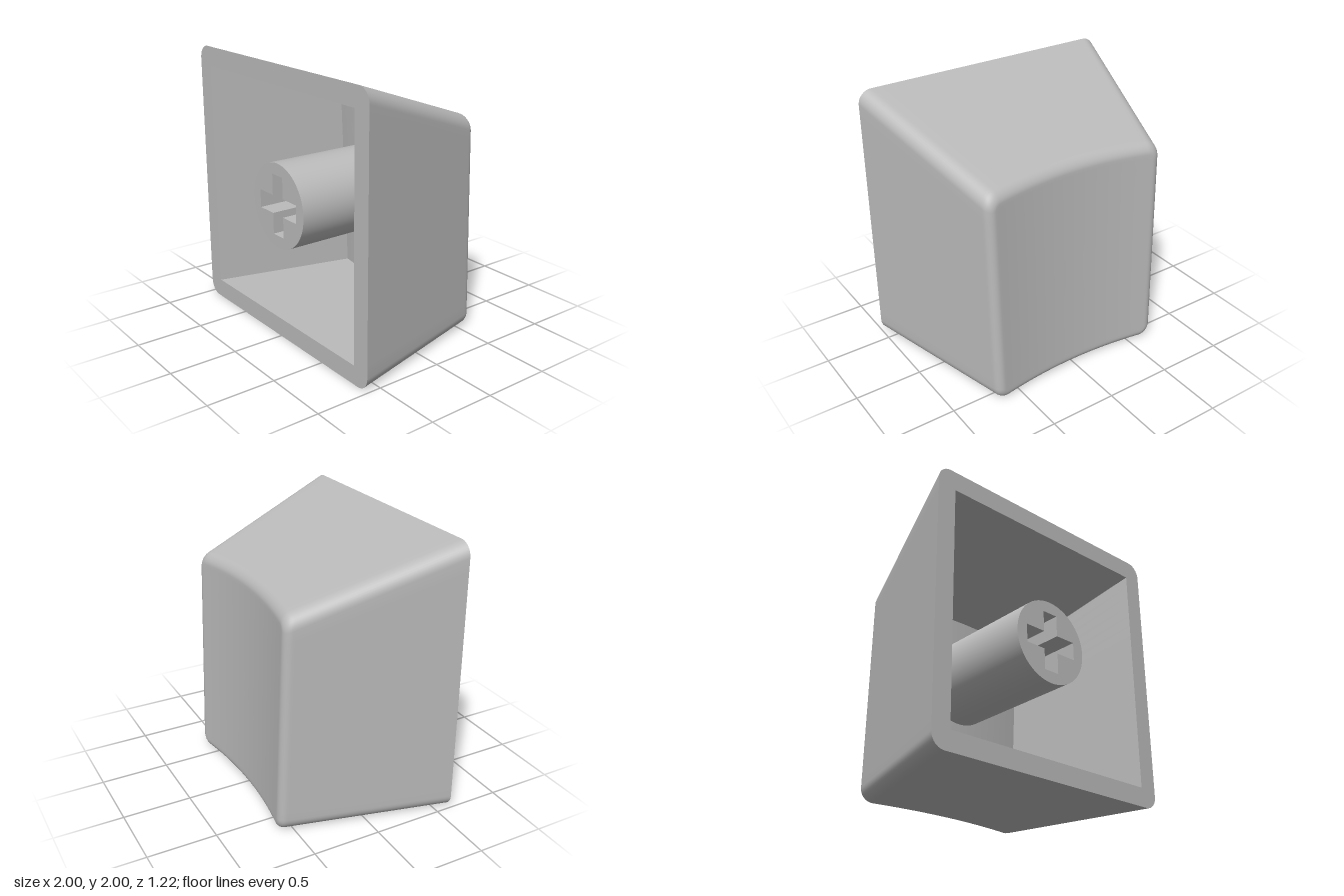
import * as THREE from 'three';
import { toCreasedNormals } from 'three/addons/utils/BufferGeometryUtils.js';

const FRONT = 0.61;       // plane of the open rim
const TAPER_X = 0.252;    // side wall slope
const TAPER_Y = 0.345;    // top wall slope
const CORNER = 0.1;
const FILLET = 0.06;

// Dished back surface, slightly tilted
const dish = (x, y) => -0.55 + 0.041 * y - 0.065 * (x / 0.66) ** 2;

// Counter-clockwise rounded rectangle with subdivided edges
function outline(hw, y0, y1, r, arcSteps, edgeSteps) {
  const pts = [];
  const corners = [[hw - r, y0 + r, -90], [hw - r, y1 - r, 0], [-hw + r, y1 - r, 90], [-hw + r, y0 + r, 180]];
  const at = ([x, y, deg], f) => {
    const a = THREE.MathUtils.degToRad(deg + 90 * f);
    return new THREE.Vector2(x + r * Math.cos(a), y + r * Math.sin(a));
  };
  corners.forEach((c, k) => {
    for (let i = 0; i < arcSteps; i++) pts.push(at(c, i / arcSteps));
    const end = at(c, 1), next = at(corners[(k + 1) % 4], 0);
    for (let i = 0; i < edgeSteps; i++) pts.push(end.clone().lerp(next, i / edgeSteps));
  });
  return pts;
}

// Wall from the rim to the dished back, then the back itself in shrinking rings
function shell({ hw, y0, y1, r, arcSteps, fillet, offset, inward }) {
  const section = (z, inset) => {
    const d = FRONT - z;
    return outline(hw - TAPER_X * d - inset, y0 + inset, y1 - TAPER_Y * d - inset,
      Math.max(r - inset, 0), arcSteps, 20);
  };
  const back = (p) => dish(p.x, p.y) + offset;
  const rings = [section(FRONT, 0).map((p) => [p.x, p.y, FRONT])];
  const count = rings[0].length;

  // rings that follow the back surface at a given distance and inset
  const addRing = (rise, inset) => {
    const ring = [];
    for (let i = 0; i < count; i++) {
      let z = -0.5, p;
      for (let k = 0; k < 6; k++) {
        p = section(z, inset)[i];
        z = back(p) + rise;
      }
      ring.push([p.x, p.y, z]);
    }
    rings.push(ring);
  };
  if (fillet) {
    addRing(fillet + 0.015, 0);
    for (let k = 0; k <= 8; k++) {
      const a = (k / 8) * Math.PI / 2;
      addRing(fillet * (1 - Math.sin(a)), fillet * (1 - Math.cos(a)));
    }
  } else addRing(0, 0);

  const edge = rings[rings.length - 1];
  const midY = (edge[0][1] + edge[Math.floor(count / 2)][1]) / 2;
  for (const s of [0.97, 0.85, 0.7, 0.55, 0.4, 0.25, 0.1, 0]) {
    rings.push(edge.map(([x, y]) => {
      const p = { x: x * s, y: midY + (y - midY) * s };
      return [p.x, p.y, back(p)];
    }));
  }

  const index = [];
  for (let j = 0; j < rings.length - 1; j++) {
    for (let i = 0; i < count; i++) {
      const n = (i + 1) % count;
      const a = j * count + i, b = j * count + n, c = a + count, d = b + count;
      if (inward) index.push(a, b, c, b, d, c);
      else index.push(a, c, b, b, c, d);
    }
  }
  const g = new THREE.BufferGeometry();
  g.setAttribute('position', new THREE.Float32BufferAttribute(rings.flat(2), 3));
  g.setIndex(index);
  return toCreasedNormals(g, 0.5);
}

// Plus-shaped outline of the socket
function crossPoints() {
  const L = 0.222, w = 0.062, h = 0.067;
  return [[w, h], [w, L], [-w, L], [-w, h], [-L, h], [-L, -h], [-w, -h], [-w, -L],
    [w, -L], [w, -h], [L, -h], [L, h]].map(([x, y]) => new THREE.Vector2(x, y + 1));
}

export function createModel() {
  const group = new THREE.Group();
  group.name = 'keycap';
  const grey = new THREE.MeshStandardMaterial({ color: 0xbababa });
  grey.name = 'grey plastic';
  const add = (name, geometry, z = 0) => {
    const mesh = new THREE.Mesh(geometry, grey);
    mesh.name = name;
    mesh.position.z = z;
    group.add(mesh);
  };

  // Outer shell and hollow inside
  add('outerShell', shell({ hw: 1, y0: 0, y1: 2, r: CORNER, arcSteps: 10, fillet: FILLET, offset: 0, inward: false }));
  add('innerCavity', shell({ hw: 0.86, y0: 0.14, y1: 1.855, r: 0, arcSteps: 0, fillet: 0, offset: 0.14, inward: true }));

  // Flat rim joining the two
  const rim = new THREE.Shape(outline(1, 0, 2, CORNER, 10, 1));
  rim.holes.push(new THREE.Path(outline(0.86, 0.14, 1.855, 0, 0, 1)));
  add('rim', new THREE.ShapeGeometry(rim), FRONT);

  // Round stem, flush with the rim, with a plus-shaped socket
  const stemLength = 1.0;
  const stem = new THREE.Shape().absarc(0, 1, 0.31, 0, Math.PI * 2, false);
  stem.holes.push(new THREE.Path(crossPoints()));
  const stemGeometry = new THREE.ExtrudeGeometry(stem, { depth: stemLength, bevelEnabled: false, curveSegments: 48 });
  add('stem', toCreasedNormals(stemGeometry, 0.5), FRONT - stemLength);
  add('socketFloor', new THREE.ShapeGeometry(new THREE.Shape(crossPoints())), FRONT - 0.5);

  return group;
}
